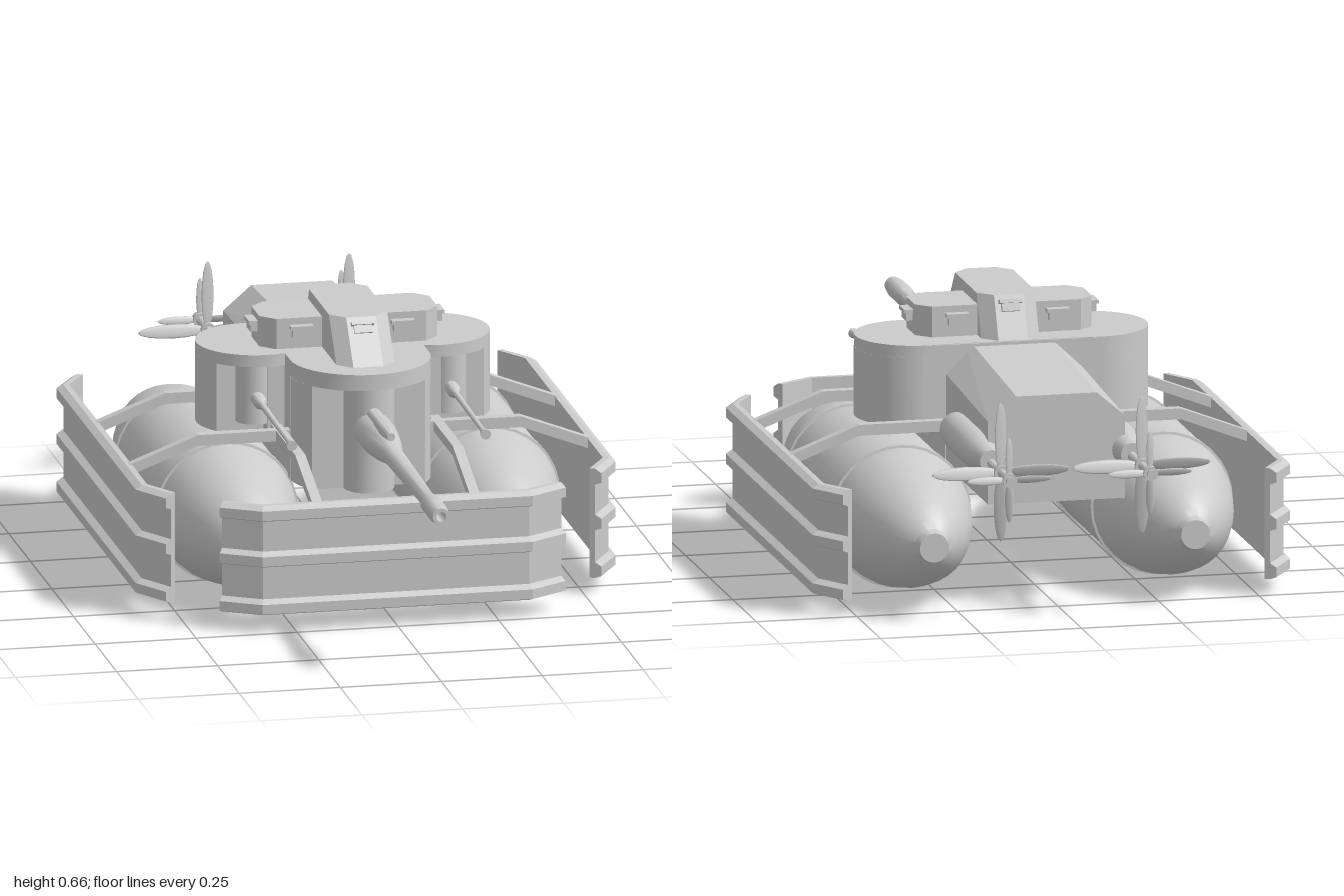
import * as THREE from 'three';
import { toCreasedNormals } from 'three/addons/utils/BufferGeometryUtils.js';
import { ConvexGeometry } from 'three/addons/geometries/ConvexGeometry.js';

const material = new THREE.MeshStandardMaterial({ color: 0xcccccc, side: THREE.DoubleSide });

function add(parent, name, geometry, x = 0, y = 0, z = 0) {
  const mesh = new THREE.Mesh(geometry, material);
  mesh.name = name;
  mesh.position.set(x, y, z);
  parent.add(mesh);
  return mesh;
}

// Body of revolution along z; points are [radius, z] with z rising
function turned(points, segments = 20) {
  const g = new THREE.LatheGeometry(points.map(([r, z]) => new THREE.Vector2(r, z)), segments);
  return toCreasedNormals(g.rotateX(Math.PI / 2), 0.6);
}

// Profile [outward, y] swept along a ground path [x, z] with mitred corners
function sweep(path, profile) {
  const P = path.map(([x, z]) => new THREE.Vector2(x, z));
  const n = profile.length, pos = [], idx = [];
  const normals = P.slice(1).map((p, i) => {
    const t = p.clone().sub(P[i]).normalize();
    return new THREE.Vector2(-t.y, t.x);
  });
  P.forEach((p, i) => {
    const a = normals[Math.max(i - 1, 0)], b = normals[Math.min(i, normals.length - 1)];
    const m = a.clone().add(b).divideScalar(1 + a.dot(b));
    for (const [d, y] of profile) pos.push(p.x + m.x * d, y, p.y + m.y * d);
  });
  for (let i = 0; i < P.length - 1; i++) {
    for (let j = 0; j < n; j++) {
      const a = i * n + j, b = i * n + (j + 1) % n;
      idx.push(a + n, b + n, a, b + n, b, a);
    }
  }
  const last = (P.length - 1) * n;
  const caps = THREE.ShapeUtils.triangulateShape(profile.map(([d, y]) => new THREE.Vector2(d, y)), []);
  for (const [a, b, c] of caps) idx.push(a, b, c, last + c, last + b, last + a);
  let g = new THREE.BufferGeometry();
  g.setAttribute('position', new THREE.Float32BufferAttribute(pos, 3));
  g.setIndex(idx);
  g = g.toNonIndexed();
  g.computeVertexNormals();
  return g;
}

// Upright cylinder cut flat across its front at distance cut from the axis
function cutCylinder(radius, cut, height) {
  const a = Math.acos(cut / radius);
  const shape = new THREE.Shape();
  shape.absarc(0, 0, radius, -Math.PI / 2 + a, 1.5 * Math.PI - a, false);
  const g = new THREE.ExtrudeGeometry(shape, { depth: height, bevelEnabled: false, curveSegments: 40 });
  return toCreasedNormals(g.rotateX(-Math.PI / 2), 0.5);
}

const drum = (r, h, seg = 40) => toCreasedNormals(new THREE.CylinderGeometry(r, r, h, seg), 0.5);

// Corners of an octagon with cut corners at height y
function octagon(hx, z0, z1, c, y) {
  const out = [];
  for (const s of [-1, 1]) {
    out.push(new THREE.Vector3(s * hx, y, z0 + c), new THREE.Vector3(s * hx, y, z1 - c),
      new THREE.Vector3(s * (hx - c), y, z0), new THREE.Vector3(s * (hx - c), y, z1));
  }
  return out;
}

// Flat bar bent in a vertical plane; points are [along, y] of its top edge
function bentBar(points, width, thick) {
  const shape = new THREE.Shape([
    ...points.map(([u, y]) => new THREE.Vector2(u, y)),
    ...points.slice().reverse().map(([u, y]) => new THREE.Vector2(u, y - thick)),
  ]);
  return new THREE.ExtrudeGeometry(shape, { depth: width, bevelEnabled: false }).translate(0, 0, -width / 2);
}

// Hooded vision block facing +z
function visionBlock(parent, x, y, z, yaw = 0, tilt = 0) {
  const g = new THREE.Group();
  g.name = 'visionBlock';
  add(g, 'visionSlit', new THREE.BoxGeometry(0.045, 0.02, 0.024), 0, -0.004);
  add(g, 'visionHood', new THREE.BoxGeometry(0.056, 0.009, 0.034), 0, 0.01);
  g.position.set(x, y, z);
  g.rotation.set(tilt, yaw, 0, 'YXZ');
  parent.add(g);
}

// Four-bladed propeller
function propeller(parent, x, y, z, radius) {
  const prop = new THREE.Group();
  prop.name = 'propeller';
  add(prop, 'hub', new THREE.CylinderGeometry(0.018, 0.018, 0.022, 12).rotateX(Math.PI / 2));
  for (let i = 0; i < 4; i++) {
    const g = new THREE.SphereGeometry(1, 10, 8).scale(radius * 0.1, radius * 0.5, 0.003);
    g.rotateY(0.35).translate(0, radius * 0.5, 0).rotateZ(i * Math.PI / 2);
    add(prop, 'blade', g);
  }
  prop.position.set(x, y, z);
  parent.add(prop);
}

export function createModel() {
  const model = new THREE.Group();
  model.name = 'floatTank';

  // Ribbed armour screens
  const ribbed = [[-0.014, 0.045]];
  for (const y of [0.045, 0.165, 0.28]) {
    ribbed.push([0, y], [0.016, y + 0.006], [0.016, y + 0.03], [0, y + 0.04]);
  }
  ribbed.push([-0.014, 0.32]);
  add(model, 'frontScreen', sweep([[-0.42, 0.425], [-0.33, 0.48], [0.33, 0.48], [0.42, 0.425]], ribbed));

  for (const s of [1, -1]) {
    const path = [[s * 0.525, 0.325], [s * 0.578, 0.235], [s * 0.578, -0.675], [s * 0.525, -0.76]];
    add(model, 'sideScreen', sweep(s > 0 ? path : path.reverse(), ribbed));

    // Screen brackets
    const side = [[0.1, 0.385], [0.4, 0.385], [0.57, 0.32]];
    for (const z of [-0.335, 0.045]) {
      const bar = bentBar(side, 0.025, 0.027);
      if (s < 0) bar.rotateY(Math.PI);
      add(model, 'sideBracket', bar, 0, 0, z);
    }
    const front = bentBar([[0, 0.385], [0.28, 0.385], [0.475, 0.32]], 0.025, 0.025).rotateY(-Math.PI / 2);
    add(model, 'frontBracket', front, s * 0.195, 0, 0);

    // Float with joint bands
    const float = turned([[0, -0.825], [0.036, -0.825], [0.042, -0.8], [0.062, -0.785], [0.095, -0.74],
      [0.127, -0.67], [0.15, -0.59], [0.167, -0.51], [0.172, -0.45], [0.172, 0.02], [0.166, 0.08],
      [0.15, 0.16], [0.126, 0.24], [0.094, 0.31], [0.062, 0.35], [0.042, 0.362], [0.036, 0.38], [0, 0.38]], 32);
    add(model, 'float', float, s * 0.325, 0.18, 0);
    for (const z of [-0.455, 0.02]) {
      add(model, 'floatBand', turned([[0.165, -0.012], [0.177, -0.01], [0.177, 0.01], [0.165, 0.012]], 32), s * 0.325, 0.18, z);
    }

    // Engine nacelle, shaft and paired propellers
    add(model, 'nacelle', turned([[0, -0.79], [0.028, -0.79], [0.034, -0.75], [0.046, -0.69], [0.048, -0.64],
      [0.048, -0.48], [0.042, -0.42], [0.028, -0.38], [0, -0.36]]), s * 0.175, 0.38, 0);
    add(model, 'propellerShaft', turned([[0, -1], [0.011, -1], [0.011, -0.78], [0, -0.78]], 12), s * 0.175, 0.375, 0);
    propeller(model, s * 0.175, 0.375, -0.89, 0.172);
    propeller(model, s * 0.175, 0.375, -0.98, 0.105);

    // Side turret with gun
    add(model, 'sideTurret', cutCylinder(0.145, 0.09, 0.17), s * 0.217, 0.36, -0.145);
    add(model, 'sideTurretRoof', drum(0.145, 0.03), s * 0.217, 0.545, -0.145);
    add(model, 'sideMantlet', drum(0.045, 0.145, 24), s * 0.24, 0.457, -0.05);
    add(model, 'sideGun', turned([[0, -0.02], [0.017, -0.02], [0.017, 0.03], [0.008, 0.045], [0.006, 0.34],
      [0.007, 0.36], [0.013, 0.395], [0, 0.395]], 12), s * 0.24, 0.45, 0).rotation.x = 0.02;
    visionBlock(model, s * 0.125, 0.605, -0.04);
    visionBlock(model, s * 0.125, 0.605, -0.21, Math.PI);
    visionBlock(model, s * 0.225, 0.605, -0.125, s * Math.PI / 2);
  }

  // Rear hull with bevelled deck
  const hull = [];
  for (const [z, edge, top] of [[-0.735, 0.465, 0.525], [-0.15, 0.493, 0.56]]) {
    for (const s of [-1, 1]) {
      hull.push(new THREE.Vector3(s * 0.17, 0.26, z), new THREE.Vector3(s * 0.17, edge, z), new THREE.Vector3(s * 0.1, top, z));
    }
  }
  add(model, 'rearHull', new ConvexGeometry(hull));

  // Front turret and the block joining it to the hull
  add(model, 'frontTurret', cutCylinder(0.172, 0.1, 0.26), 0, 0.26, 0.055);
  add(model, 'frontTurretRoof', drum(0.172, 0.04), 0, 0.54, 0.055);
  add(model, 'turretBlock', new THREE.BoxGeometry(0.344, 0.3, 0.34), 0, 0.41, -0.115);
  add(model, 'sideTurretBridge', new THREE.BoxGeometry(0.43, 0.2, 0.28), 0, 0.459, -0.15);
  add(model, 'mantlet', drum(0.062, 0.26, 24), 0, 0.39, 0.16);

  // Main gun
  add(model, 'mainGun', turned([[0, 0.18], [0.046, 0.18], [0.046, 0.29], [0.036, 0.38], [0.027, 0.43], [0.025, 0.44],
    [0.018, 0.86], [0.025, 0.875], [0.025, 0.96], [0.021, 1], [0.012, 1], [0.012, 0.9], [0, 0.9]]), 0, 0.417, 0);
  add(model, 'recoilCylinder', turned([[0, 0.18], [0.018, 0.18], [0.018, 0.37], [0.01, 0.42], [0, 0.42]], 12), 0, 0.457, 0);

  // Roof cupolas
  add(model, 'crossCupola', new ConvexGeometry([
    ...octagon(0.22, -0.205, -0.045, 0.035, 0.555), ...octagon(0.22, -0.205, -0.045, 0.035, 0.636)]));
  add(model, 'centreCupola', new ConvexGeometry([
    ...octagon(0.072, -0.28, 0.16, 0.035, 0.555), ...octagon(0.072, -0.23, 0.07, 0.035, 0.663)]));
  visionBlock(model, 0, 0.637, 0.085, 0, -0.6);
  visionBlock(model, 0, 0.637, -0.242, Math.PI, -0.35);

  return model;
}
